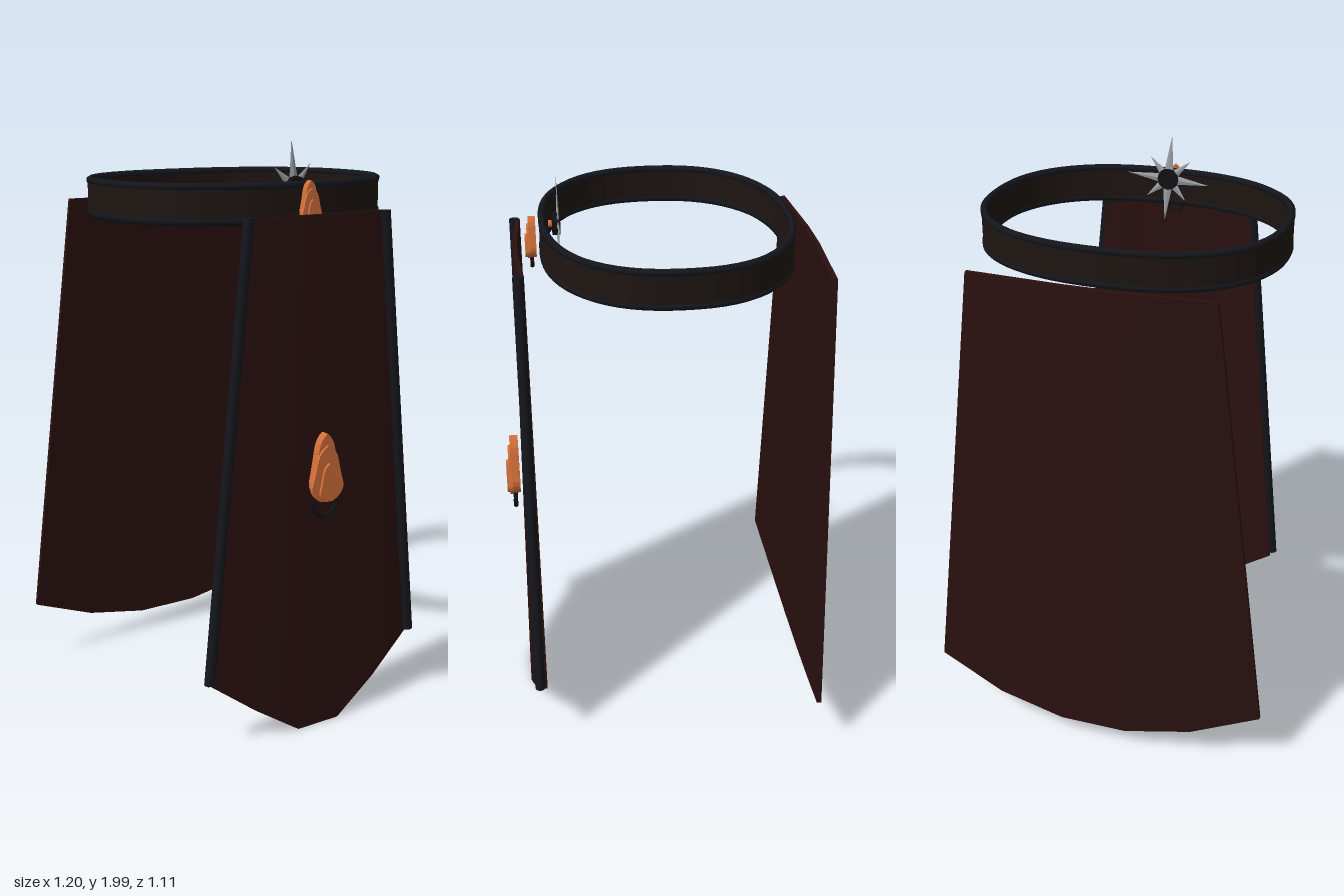
import * as THREE from 'three';

const mat = (color, extra = {}) => {
  const m = new THREE.MeshStandardMaterial(extra);
  m.color.set(color);
  return m;
};
const maroon = mat(0x2a1010), leather = mat(0x1d1512), navy = mat(0x14161c);
const black = mat(0x121014), copper = mat(0xd5703a), steel = mat(0x9aa0a4, { flatShading: true });

function add(parent, name, geometry, material, x = 0, y = 0, z = 0) {
  const mesh = new THREE.Mesh(geometry, material);
  mesh.name = name;
  mesh.position.set(x, y, z);
  parent.add(mesh);
  return mesh;
}

// Rounded oval outline of the belt, in x and z
function oval(a, b, n = 36) {
  const e = 2 / 2.33, pts = [];
  for (let i = 0; i < n; i++) {
    const t = (i / n) * Math.PI * 2, c = Math.cos(t), s = Math.sin(t);
    pts.push(new THREE.Vector2(a * Math.sign(c) * Math.abs(c) ** e, b * Math.sign(s) * Math.abs(s) ** e));
  }
  return pts;
}

function ovalBand(a, b, width, height) {
  const shape = new THREE.Shape(oval(a, b));
  shape.holes.push(new THREE.Path(oval(a - width, b - width)));
  return new THREE.ExtrudeGeometry(shape, { depth: height, bevelEnabled: false }).rotateX(-Math.PI / 2);
}

// Cloth panel: five facets across; each list runs from the centre column to the edge
function clothPanel({ topW, botW, topY, botY, topZ, botZ, thick }) {
  const g = new THREE.BoxGeometry(2, 1, 1, 5, 1, 1), p = g.attributes.position;
  for (let i = 0; i < p.count; i++) {
    const t = p.getX(i), col = Math.round((Math.abs(t) - 0.2) / 0.4);
    const top = p.getY(i) > 0;
    p.setXYZ(i, t * (top ? topW : botW), top ? topY : botY[col],
      (top ? topZ : botZ)[col] + p.getZ(i) * thick);
  }
  g.computeVertexNormals();
  return g;
}

// Flame-shaped plate, its base at y = 0
function flame(w, h, depth) {
  const s = new THREE.Shape();
  s.moveTo(-0.4 * w, 0);
  s.lineTo(0.4 * w, 0);
  s.quadraticCurveTo(w, 0.1 * h, w, 0.27 * h);
  s.quadraticCurveTo(0.8 * w, 0.48 * h, 0.62 * w, 0.76 * h);
  s.quadraticCurveTo(0.5 * w, 0.92 * h, 0, h);
  s.quadraticCurveTo(-0.5 * w, 0.92 * h, -0.62 * w, 0.76 * h);
  s.quadraticCurveTo(-0.8 * w, 0.48 * h, -w, 0.27 * h);
  s.quadraticCurveTo(-w, 0.1 * h, -0.4 * w, 0);
  return new THREE.ExtrudeGeometry(s, { depth, bevelEnabled: false, curveSegments: 4 });
}

// Ornament: layered copper flame with a dark hanging loop
function ornament(name, k) {
  const o = new THREE.Group();
  o.name = name;
  add(o, 'flamePlate', flame(0.052 * k, 0.228 * k, 0.03 * k), copper, 0, 0.002 * k, 0.008 * k);
  add(o, 'flameBack', flame(0.065 * k, 0.19 * k, 0.012 * k), copper, 0, 0, 0.034 * k);
  add(o, 'flameInner', flame(0.036 * k, 0.13 * k, 0.015 * k), copper, 0, 0.001, 0.04 * k);
  const loop = new THREE.TorusGeometry(0.05 * k, 0.009 * k, 6, 16, Math.PI);
  add(o, 'hangingLoop', loop, black, 0, -0.005 * k, 0.028 * k).rotation.z = Math.PI;
  return o;
}

function spikedStar() {
  const star = new THREE.Group();
  star.name = 'spikedStar';
  const lengths = [0.155, 0.105, 0.15, 0.1, 0.155, 0.105, 0.15, 0.1];
  lengths.forEach((len, i) => {
    const g = new THREE.ConeGeometry(0.02, len, 4).translate(0, len / 2, 0).scale(1, 1, 0.3);
    add(star, 'spike', g, steel).rotation.z = (i / 8) * Math.PI * 2 + 0.08;
  });
  const disc = (r, d) => new THREE.CylinderGeometry(r, r, d, 12).rotateX(Math.PI / 2);
  add(star, 'hub', disc(0.038, 0.026), black, 0, 0, 0.006);
  add(star, 'hubPin', disc(0.012, 0.012), copper, 0, 0, 0.026);
  return star;
}

export function createModel() {
  const model = new THREE.Group();
  model.name = 'beltWithTabards';

  // Belt strap with a rim along both edges
  const belt = new THREE.Group();
  belt.name = 'belt';
  belt.position.z = -0.02;
  add(belt, 'strap', ovalBand(0.514, 0.417, 0.018, 0.115), leather, 0, 1.745, 0);
  for (const y of [1.748, 1.857]) {
    const path = new THREE.CatmullRomCurve3(oval(0.505, 0.408).map(v => new THREE.Vector3(v.x, 0, v.y)), true);
    add(belt, 'rim', new THREE.TubeGeometry(path, 72, 0.013, 6, true), navy, 0, y, 0);
  }
  model.add(belt);

  // Front and back cloth panels
  add(model, 'frontPanel', clothPanel({
    topW: 0.265, botW: 0.42, topY: 1.77, botY: [0.005, 0.115, 0.24],
    topZ: [0.48, 0.473, 0.465], botZ: [0.506, 0.49, 0.463], thick: 0.016,
  }), maroon);
  add(model, 'backPanel', clothPanel({
    topW: 0.405, botW: 0.6, topY: 1.77, botY: [0.08, 0.13, 0.23],
    topZ: [-0.52, -0.512, -0.504], botZ: [-0.547, -0.533, -0.504], thick: 0.016,
  }), maroon);

  // Cords along the sides of the front panel
  for (const side of [-1, 1]) {
    const line = new THREE.LineCurve3(
      new THREE.Vector3(side * 0.27, 1.77, 0.476), new THREE.Vector3(side * 0.425, 0.25, 0.481));
    const cord = new THREE.Group();
    cord.name = side > 0 ? 'leftCord' : 'rightCord';
    add(cord, 'cordBody', new THREE.TubeGeometry(line, 1, 0.018, 8), navy);
    for (const [end, flip] of [[line.v1, 1], [line.v2, -1]]) {
      add(cord, 'cordEnd', new THREE.CylinderGeometry(0.018, 0.018, 0.004, 8), navy, end.x, end.y - flip * 0.002, end.z);
    }
    model.add(cord);
  }

  // Ornaments on the panel and the belt, star behind the belt
  const panelOrnament = ornament('panelOrnament', 1);
  panelOrnament.position.set(0, 0.83, 0.502);
  const buckle = ornament('buckleOrnament', 0.6);
  buckle.scale.z = 1.3;
  buckle.position.set(0, 1.735, 0.403);
  const star = spikedStar();
  star.position.set(0, 1.845, 0.335);
  model.add(panelOrnament, buckle, star);
  return model;
}
